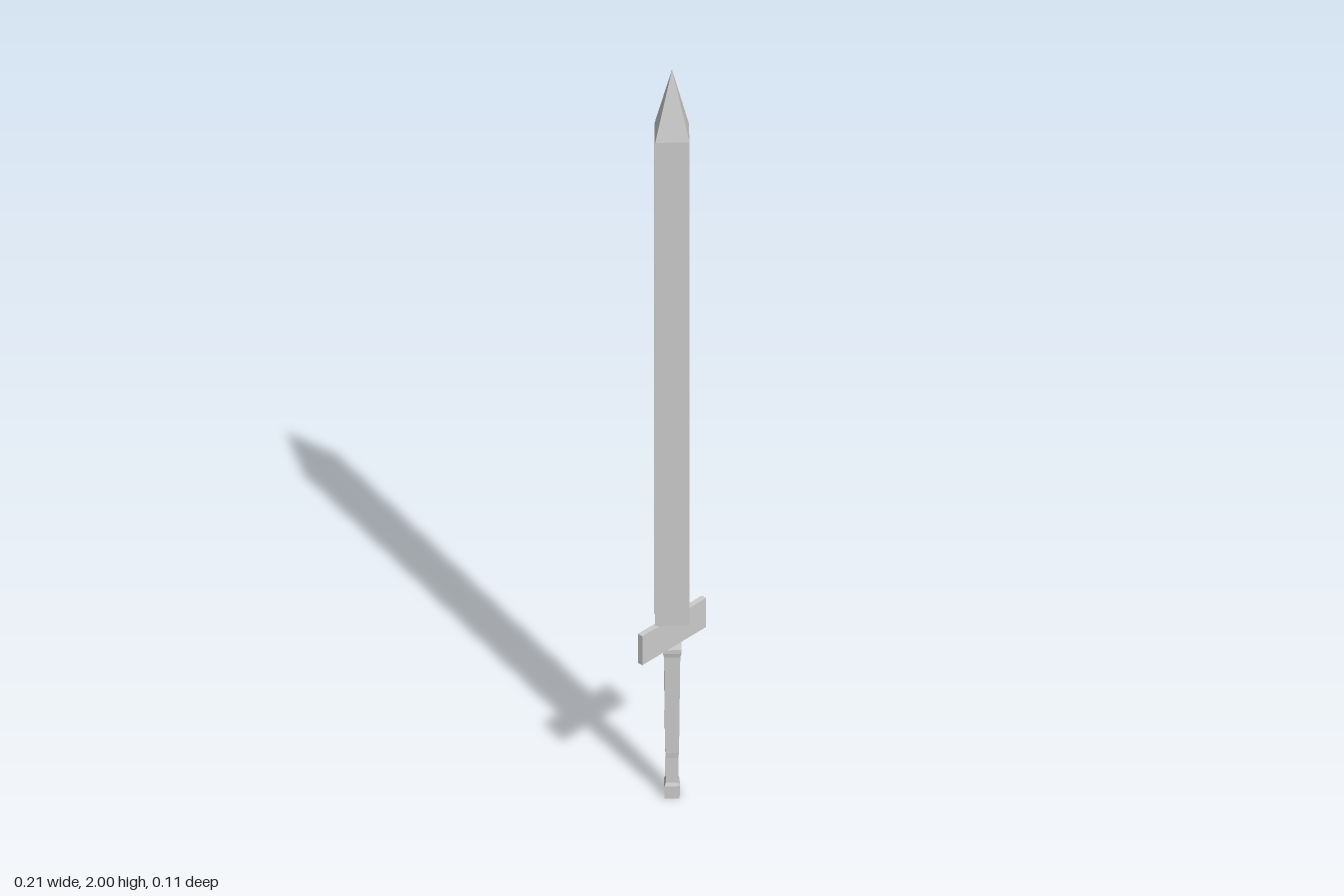
import * as THREE from 'three';

const material = new THREE.MeshStandardMaterial({ color: 0xcccccc, flatShading: true });

function addMesh(group, name, geometry) {
  const mesh = new THREE.Mesh(geometry, material);
  mesh.name = name;
  group.add(mesh);
  return mesh;
}

// Four-sided solid with its corners on the x and z axes; profile is [radius, y] from bottom to top
function diamond(profile) {
  return new THREE.LatheGeometry(profile.map(([r, y]) => new THREE.Vector2(r, y)), 4);
}

export function createModel() {
  const sword = new THREE.Group();
  sword.name = 'sword';

  // Blade and pyramid point
  addMesh(sword, 'blade', diamond([[0, 0.492], [0.055, 0.492], [0.055, 1.825]]));
  addMesh(sword, 'bladeTip', diamond([[0.055, 1.825], [0, 2]]));

  // Flat crossguard
  addMesh(sword, 'crossguard', new THREE.BoxGeometry(0.21, 0.08, 0.014)).position.y = 0.452;

  // Tapered grip, flared under the guard
  addMesh(sword, 'grip', diamond([
    [0.02, 0.035], [0.02, 0.11], [0.022, 0.125], [0.026, 0.39], [0.03, 0.402], [0.03, 0.412], [0, 0.412],
  ]));

  // Pommel
  addMesh(sword, 'pommel', diamond([
    [0, 0], [0.024, 0], [0.025, 0.034], [0.02, 0.042], [0, 0.042],
  ]));

  return sword;
}
